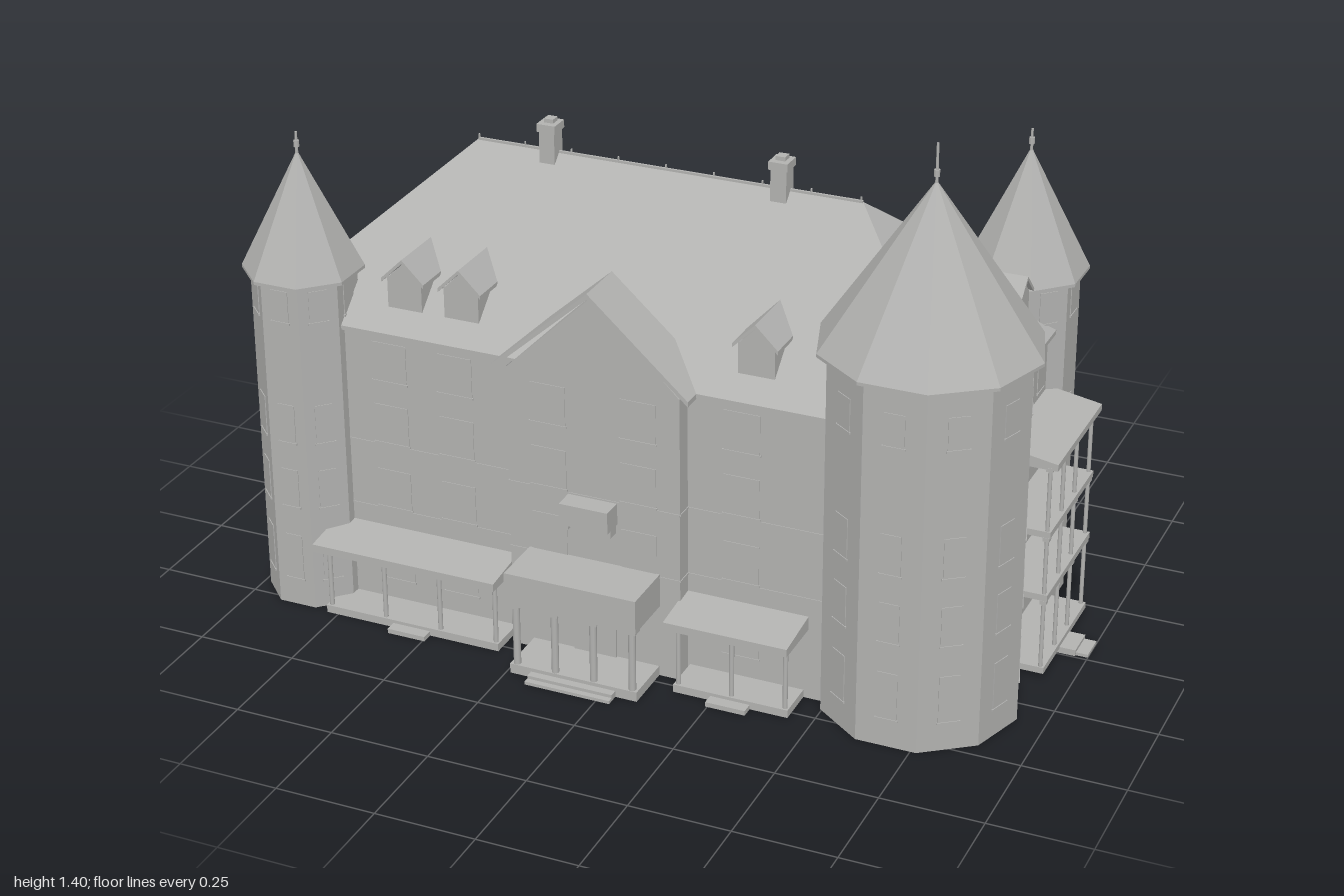
import * as THREE from 'three';
import { ConvexGeometry } from 'three/addons/geometries/ConvexGeometry.js';

// Double-sided because the walls are open shells
const stone = new THREE.MeshStandardMaterial({ color: 0xb2b2b0, side: THREE.DoubleSide });
stone.name = 'stone grey';

const EAVE = 0.742;
const ROWS = [[0.075, 0.12], [0.275, 0.1], [0.45, 0.1], [0.615, 0.1]]; // window sill height, window height
const TOWER_ROWS = [...ROWS.slice(0, 3), [0.77, 0.08]];

function add(parent, name, geometry, x = 0, y = 0, z = 0) {
  const m = new THREE.Mesh(geometry, stone);
  m.name = name;
  m.position.set(x, y, z);
  parent.add(m);
  return m;
}

// Box given by its min and max corners
function box(parent, name, x0, x1, y0, y1, z0, z1) {
  return add(parent, name, new THREE.BoxGeometry(x1 - x0, y1 - y0, z1 - z0),
    (x0 + x1) / 2, (y0 + y1) / 2, (z0 + z1) / 2);
}

// Flat-faced solid around a few corners
function hull(parent, name, points) {
  return add(parent, name, new ConvexGeometry(points.map(p => new THREE.Vector3(...p))));
}

function group(parent, name, x = 0, y = 0, z = 0, ry = 0) {
  const g = new THREE.Group();
  g.name = name;
  g.position.set(x, y, z);
  g.rotation.y = ry;
  parent.add(g);
  return g;
}

// Thin upright walls along a plan line of [x, z] points, with two string courses
function wallRun(parent, name, plan) {
  const g = group(parent, name);
  for (let i = 0; i + 1 < plan.length; i++) {
    const [ax, az] = plan[i], [bx, bz] = plan[i + 1];
    const length = Math.hypot(bx - ax, bz - az);
    const side = group(g, 'wallSide', (ax + bx) / 2, 0, (az + bz) / 2, Math.atan2(az - bz, bx - ax));
    add(side, 'wall', new THREE.PlaneGeometry(length, EAVE), 0, EAVE / 2, 0);
    for (const y of [0.264, 0.439]) box(side, 'stringCourse', -length / 2, length / 2, y, y + 0.005, -0.001, 0.002);
  }
}

// Window facing local +z, its sill at the origin
function windowUnit(parent, x, y, z, ry, w, h) {
  const g = group(parent, 'window', x, y, z, ry);
  box(g, 'windowPane', -w / 2, w / 2, 0, h, -0.001, 0.002);
  box(g, 'windowSill', -w / 2 - 0.003, w / 2 + 0.003, -0.005, 0, -0.001, 0.004);
}

// Corner tower; below the eaves only the facets outside the house are built
function tower(parent, name, o) {
  const g = group(parent, name, o.x, 0, o.z);
  const step = 2 * Math.PI / o.sides;
  const cyl = (part, r0, r1, y0, y1, open, first = 0, count = o.sides) => {
    const geo = new THREE.CylinderGeometry(r0, r1, y1 - y0, count, 1, open, (first + 0.5) * step, count * step).toNonIndexed();
    geo.computeVertexNormals();
    add(g, part, geo, 0, (y0 + y1) / 2, 0);
  };
  cyl('towerWall', o.r, o.r, 0, EAVE, true, o.first, o.count);
  cyl('towerTop', o.r, o.r, EAVE, o.eave, true);
  cyl('towerEave', o.roofR, o.roofR, o.eave - 0.008, o.eave, false);
  cyl('towerRoof', 0.002, o.roofR, o.eave, o.apex, true);
  // Finial
  add(g, 'finialRod', new THREE.CylinderGeometry(0.003, 0.004, o.tip - o.apex + 0.02, 8), 0, (o.tip + o.apex - 0.02) / 2, 0);
  add(g, 'finialKnob', new THREE.CylinderGeometry(0.007, 0.007, 0.016, 8), 0, o.apex + 0.02, 0);
  // Windows on the outer facets
  const apothem = o.r * Math.cos(step / 2);
  for (let i = o.first; i < o.first + o.count; i++) {
    const a = (i + 1) * step;
    for (const [y, h] of TOWER_ROWS) {
      windowUnit(g, Math.sin(a) * apothem, y, Math.cos(a) * apothem, a, o.windowW, h);
    }
  }
}

// Gabled dormer whose front faces local +z; it runs back into the roof
function dormer(parent, x, z, ry) {
  const g = group(parent, 'dormer', x, 0, z, ry);
  const w = 0.045, e = 0.056;
  box(g, 'dormerBody', -w, w, 0.795, 0.875, -0.09, 0);
  hull(g, 'dormerGable', [[-w, 0.87, 0], [w, 0.87, 0], [0, 0.915, 0], [-w, 0.87, -0.1], [w, 0.87, -0.1], [0, 0.915, -0.14]]);
  for (const s of [-1, 1]) {
    hull(g, 'dormerRoof', [[s * e, 0.862, 0.01], [s * e, 0.872, 0.01], [0, 0.917, 0.01], [0, 0.927, 0.01],
      [s * e, 0.862, -0.08], [s * e, 0.872, -0.08], [0, 0.917, -0.14], [0, 0.927, -0.14]]);
  }
}

function post(parent, x, z, y0, y1, r = 0.006) {
  add(parent, 'post', new THREE.CylinderGeometry(r, r, y1 - y0, 10), x, (y0 + y1) / 2, z);
  box(parent, 'postCap', x - r * 1.6, x + r * 1.6, y1 - 0.01, y1, z - r * 1.6, z + r * 1.6);
}

// Front veranda with a shed roof, posts and a low step inside the roof line
function veranda(parent, name, x0, x1, postXs) {
  const g = group(parent, name), mid = (x0 + x1) / 2;
  box(g, 'verandaFloor', x0 + 0.01, x1 - 0.01, 0, 0.02, 0.425, 0.525);
  box(g, 'verandaStep', mid - 0.05, mid + 0.05, 0, 0.012, 0.525, 0.555);
  hull(g, 'verandaRoof', [x0, x1].flatMap(x => [[x, 0.185, 0.425], [x, 0.22, 0.425], [x, 0.185, 0.56], [x, 0.205, 0.56]]));
  for (const x of postXs) post(g, x, 0.515, 0.02, 0.186);
}

export function createModel() {
  const model = new THREE.Group();
  model.name = 'towerHouse';

  // Outer walls between the towers, including the front bay
  wallRun(model, 'frontWalls', [[-0.748, 0.425], [-0.295, 0.425], [-0.295, 0.47], [0.145, 0.47], [0.145, 0.425], [0.485, 0.425]]);
  wallRun(model, 'rightWall', [[0.805, 0.12], [0.805, -0.197]]);
  wallRun(model, 'backLeftWalls', [[0.611, -0.345], [-0.955, -0.345], [-0.955, 0.322]]);

  // Hipped roof
  const eaves = [[-0.97, -0.36], [0.82, -0.36], [-0.97, 0.44], [0.82, 0.44]];
  hull(model, 'mainRoof', [...eaves.flatMap(([x, z]) => [[x, 0.737, z], [x, 0.748, z]]), [-0.57, 1.11, 0.045], [0.42, 1.11, 0.045]]);
  box(model, 'ridgeCap', -0.57, 0.42, 1.105, 1.113, 0.042, 0.048);
  for (let i = 0; i <= 8; i++) box(model, 'ridgeSpike', -0.57 + i * 0.123, -0.567 + i * 0.123, 1.11, 1.122, 0.043, 0.047);

  // Gable over the front bay
  hull(model, 'bayGable', [0.47, 0.355].flatMap(z => [[-0.295, 0.74, z], [0.145, 0.74, z], [-0.075, 0.955, z]]));
  for (const s of [-1, 1]) {
    hull(model, 'bayRoof', [0.487, 0.35].flatMap(z => [[-0.077 + s * 0.25, 0.735, z], [-0.077 + s * 0.25, 0.748, z],
      [-0.077, 0.958, z], [-0.077, 0.972, z]]));
  }

  // Corner towers
  tower(model, 'greatTower', { x: 0.69, z: 0.318, r: 0.24, roofR: 0.264, sides: 10, first: 7, count: 7,
    eave: 0.922, apex: 1.31, tip: 1.4, windowW: 0.05 });
  tower(model, 'backTower', { x: 0.717, z: -0.28, r: 0.131, roofR: 0.152, sides: 8, first: 0, count: 5,
    eave: 0.87, apex: 1.17, tip: 1.22, windowW: 0.045 });
  tower(model, 'frontTower', { x: -0.866, z: 0.4, r: 0.128, roofR: 0.147, sides: 8, first: 4, count: 6,
    eave: 0.87, apex: 1.16, tip: 1.21, windowW: 0.045 });

  // Windows of the main walls
  for (const [y, h] of ROWS) {
    for (const x of [-0.63, -0.455, 0.28]) windowUnit(model, x, y, 0.425, 0, 0.09, h);
    if (y > 0.2) for (const x of [-0.19, 0.04]) windowUnit(model, x, y, 0.47, 0, 0.09, h);
    for (let i = 0; i < 9; i++) {
      const x = -0.86 + i * 0.17;
      if (y > 0.2 || (i > 0 && Math.abs(x + 0.075) > 0.13)) windowUnit(model, x, y, -0.345, Math.PI, 0.06, h);
    }
    for (const z of [-0.25, -0.08, 0.09, 0.22]) windowUnit(model, -0.955, y, z, -Math.PI / 2, 0.055, h);
    for (const z of [-0.15, 0.06]) windowUnit(model, 0.805, y, z, Math.PI / 2, 0.045, h);
  }

  // Dormers on front, back and right slopes
  for (const x of [-0.6, -0.45, 0.3]) dormer(model, x, 0.39, 0);
  for (const x of [-0.567, 0.41]) dormer(model, x, -0.307, Math.PI);
  dormer(model, 0.77, -0.097, Math.PI / 2);

  // Chimneys
  for (const x of [-0.375, 0.22]) {
    box(model, 'chimney', x - 0.02, x + 0.02, 1.07, 1.18, 0.028, 0.072);
    box(model, 'chimneyCap', x - 0.024, x + 0.024, 1.165, 1.185, 0.024, 0.076);
    box(model, 'chimneyPot', x - 0.012, x + 0.012, 1.185, 1.195, 0.035, 0.06);
  }

  // Front verandas, portico and balcony
  veranda(model, 'leftVeranda', -0.79, -0.3, [-0.77, -0.62, -0.47, -0.32]);
  veranda(model, 'rightVeranda', 0.14, 0.45, [0.16, 0.295, 0.43]);
  const portico = group(model, 'portico');
  box(portico, 'porticoFloor', -0.24, 0.09, 0, 0.025, 0.47, 0.6);
  box(portico, 'porticoTop', -0.245, 0.093, 0.19, 0.275, 0.47, 0.61);
  box(portico, 'porticoDoor', -0.13, -0.02, 0.025, 0.17, 0.469, 0.476);
  for (const x of [-0.225, -0.125, -0.025, 0.075]) post(portico, x, 0.59, 0.025, 0.19, 0.009);
  box(portico, 'porticoStep', -0.185, 0.035, 0, 0.016, 0.6, 0.62);
  box(portico, 'porticoStep', -0.185, 0.035, 0, 0.008, 0.62, 0.635);
  box(model, 'balcony', -0.14, -0.015, 0.385, 0.44, 0.47, 0.525);
  for (const x of [-0.135, -0.025]) box(model, 'balconyBracket', x, x + 0.006, 0.36, 0.385, 0.47, 0.5);

  // Three-storey gallery on the right side
  const gallery = group(model, 'gallery');
  const levels = [0.028, 0.225, 0.393, 0.56];
  hull(gallery, 'galleryRoof', [-0.22, 0.122].flatMap(z => [[0.805, 0.555, z], [0.805, 0.595, z], [0.94, 0.555, z], [0.94, 0.572, z]]));
  for (let i = 0; i < 3; i++) {
    box(gallery, 'galleryFloor', 0.805, 0.93, levels[i] - 0.016, levels[i], -0.215, 0.122);
    box(gallery, 'galleryDoor', 0.804, 0.81, levels[i], levels[i] + 0.115, -0.07, -0.015);
    for (const z of [0.115, 0.007, -0.093, -0.207]) post(gallery, 0.92, z, levels[i], levels[i + 1] - (i < 2 ? 0.016 : 0), 0.005);
  }
  box(gallery, 'galleryStep', 0.92, 0.97, 0, 0.016, -0.085, -0.005);
  box(gallery, 'galleryStep', 0.97, 1.0, 0, 0.008, -0.08, -0.01);

  // Gabled canopy and stoops at the back
  const canopy = group(model, 'canopy');
  hull(canopy, 'canopyRoof', [-0.345, -0.637].flatMap(z => [[-0.273, 0.243, z], [0.117, 0.243, z], [-0.078, 0.337, z]]));
  for (const x of [-0.235, 0.08]) post(canopy, x, -0.605, 0, 0.244, 0.008);
  box(canopy, 'backDoor', -0.135, -0.02, 0.02, 0.19, -0.35, -0.344);
  box(canopy, 'backStoop', -0.16, 0.005, 0, 0.02, -0.39, -0.345);
  box(canopy, 'backStep', -0.16, 0.005, 0, 0.01, -0.42, -0.39);
  box(model, 'sideDoor', -0.82, -0.76, 0.02, 0.17, -0.35, -0.344);
  box(model, 'sideStoop', -0.83, -0.75, 0, 0.018, -0.385, -0.345);
  box(model, 'sideStep', -0.825, -0.755, 0, 0.009, -0.41, -0.385);
  return model;
}
